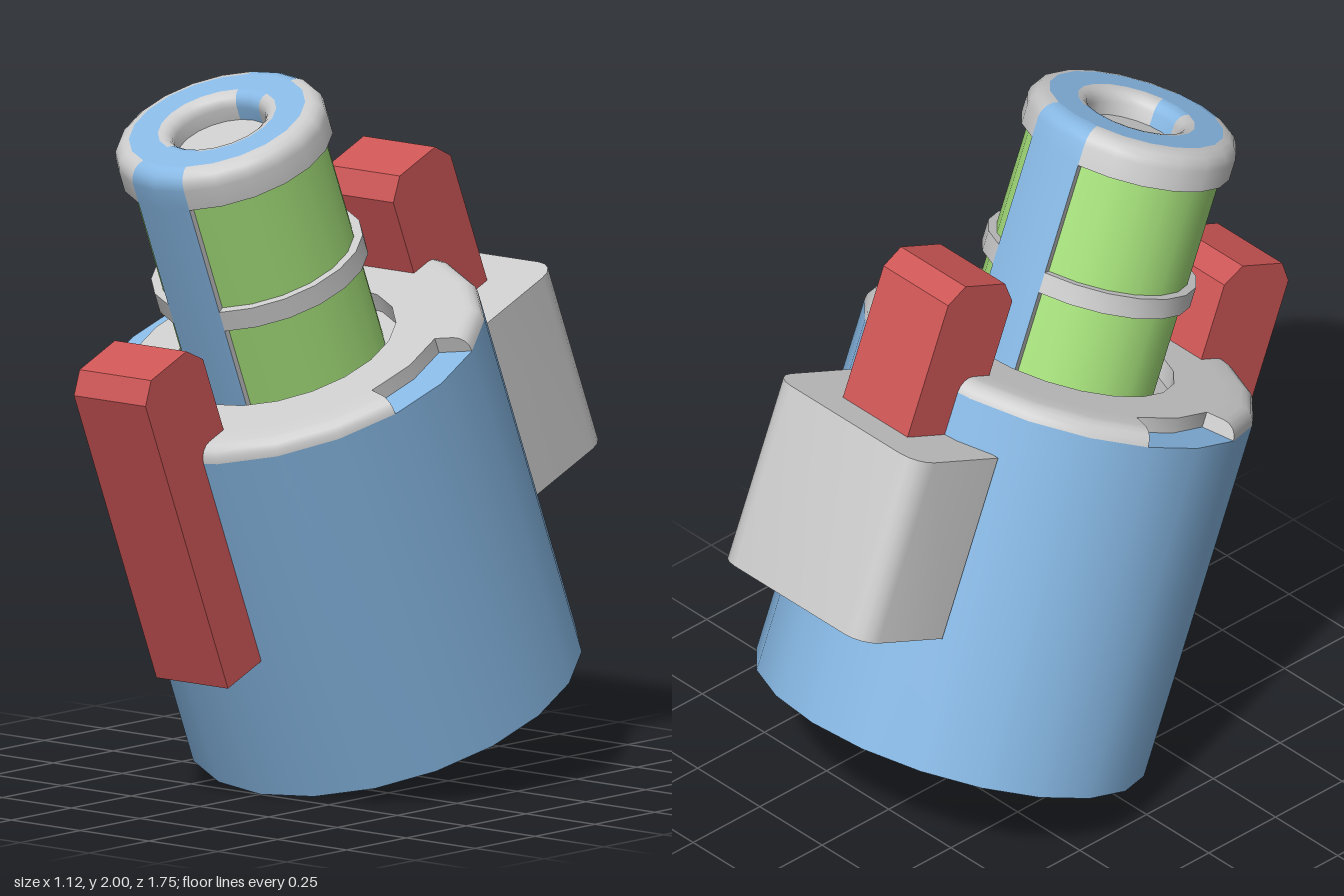
import * as THREE from 'three';
import { toCreasedNormals } from 'three/addons/utils/BufferGeometryUtils.js';

const material = (color) => new THREE.MeshStandardMaterial({ color, side: THREE.DoubleSide });
const STEP = Math.PI / 10; // everything round has 20 sides

export function createModel() {
  const grey = material(0xcccccc);
  const blue = material(0x87b8e4);
  const green = material(0xa5e07a);
  const red = material(0xcc5555);

  const model = new THREE.Group();
  model.name = 'tiltedCanister';
  const tilted = new THREE.Group();
  tilted.name = 'tiltedAssembly';
  tilted.position.set(0, 0.2145, -0.27);
  tilted.rotation.x = Math.PI / 8;
  model.add(tilted);

  const add = (name, geometry, mat) => {
    const mesh = new THREE.Mesh(geometry, mat);
    mesh.name = name;
    tilted.add(mesh);
    return mesh;
  };
  // Lathe sector of [radius, height] points; start and count are in 18 degree steps from the front
  const turn = (name, profile, mat, start = 0, count = 20) => {
    const pts = profile.map(([r, h]) => new THREE.Vector2(r, h));
    const geo = new THREE.LatheGeometry(pts, count, start * STEP, count * STEP);
    return add(name, toCreasedNormals(geo, 0.6), mat);
  };
  // Flat radial wall closing the end of a sector
  const radialWall = (name, profile, mat, step) => {
    const shape = new THREE.Shape(profile.map(([r, h]) => new THREE.Vector2(r, h)));
    add(name, new THREE.ShapeGeometry(shape), mat).rotation.y = step * STEP - Math.PI / 2;
  };
  // Quarter round from angle a0 to a1 (degrees)
  const arc = (cx, cy, r, a0, a1, n = 4) => Array.from({ length: n + 1 }, (_, i) => {
    const a = THREE.MathUtils.degToRad(a0 + ((a1 - a0) * i) / n);
    return [cx + r * Math.cos(a), cy + r * Math.sin(a)];
  });

  // Body: open-bottomed shell, with a grey top ring and a recess around the tower
  turn('bodyShell', [[0.56, 0], [0.56, 1.06]], blue);
  turn('topRing', [[0.46, 1.06], [0.46, 1.105], [0.32, 1.105], [0.32, 1.05], [0, 1.05]], grey);
  const rim = [...arc(0.515, 1.06, 0.045, 0, 90), [0.46, 1.105]];
  for (const side of [0, 10]) {
    turn('topRim', rim, grey, side - 4, 8);
    turn('notchFloor', [[0.56, 1.06], [0.46, 1.06]], blue, side + 4, 2);
    for (const s of [4, 6]) radialWall('notchWall', [...rim, [0.46, 1.06]], grey, side + s);
  }

  // Tower: green windows, grey bands and two blue straps running over the cap
  const capOuter = [[0.3, 1.715], ...arc(0.25, 1.775, 0.05, 0, 90)];
  const capInner = [...arc(0.168, 1.788, 0.037, 90, 180), [0.131, 1.75]];
  for (const side of [0, 10]) {
    turn('window', [[0.275, 1.05], [0.275, 1.715]], green, side + 1, 8);
    turn('middleBand', [[0.275, 1.33], [0.3, 1.33], [0.3, 1.39], [0.275, 1.39]], grey, side + 1, 8);
    turn('capSide', [[0.275, 1.715], ...capOuter], grey, side + 1, 8);
    turn('capInnerLip', capInner, grey, side + 1, 8);
    turn('strap', [[0.3, 1.05], ...capOuter], blue, side - 1, 2);
    turn('strapInnerLip', capInner, blue, side - 1, 2);
    for (const s of [-1, 1]) {
      radialWall('strapEdge', [[0.27, 1.05], [0.3, 1.05], [0.3, 1.715], [0.27, 1.715]], grey, side + s);
    }
  }
  turn('capTop', [[0.25, 1.825], [0.168, 1.825]], blue);
  turn('capWell', [[0.131, 1.75], [0, 1.75]], grey);

  // Red bars with chamfered tops, front and back
  const barShape = new THREE.Shape([
    [0.43, 0.43], [0.69, 0.43], [0.69, 1.33], [0.642, 1.385], [0.482, 1.385], [0.43, 1.33],
  ].map(([z, h]) => new THREE.Vector2(z, h)));
  const barGeo = new THREE.ExtrudeGeometry(barShape, { depth: 0.26, bevelEnabled: false });
  barGeo.translate(0, 0, -0.13).rotateY(-Math.PI / 2);
  add('frontBar', barGeo, red);
  add('backBar', barGeo, red).rotation.y = Math.PI;

  // Back box with two rounded upright edges
  const boxShape = new THREE.Shape([
    [-0.29, 0.484], [0.29, 0.484], ...arc(0.22, 0.741, 0.07, 0, 90), ...arc(-0.22, 0.741, 0.07, 90, 180),
  ].map(([x, z]) => new THREE.Vector2(x, z)));
  const boxGeo = new THREE.ExtrudeGeometry(boxShape, { depth: 0.547, bevelEnabled: false });
  boxGeo.rotateX(-Math.PI / 2).translate(0, 0.385, 0);
  add('backBox', toCreasedNormals(boxGeo, 0.6), grey);

  return model;
}
